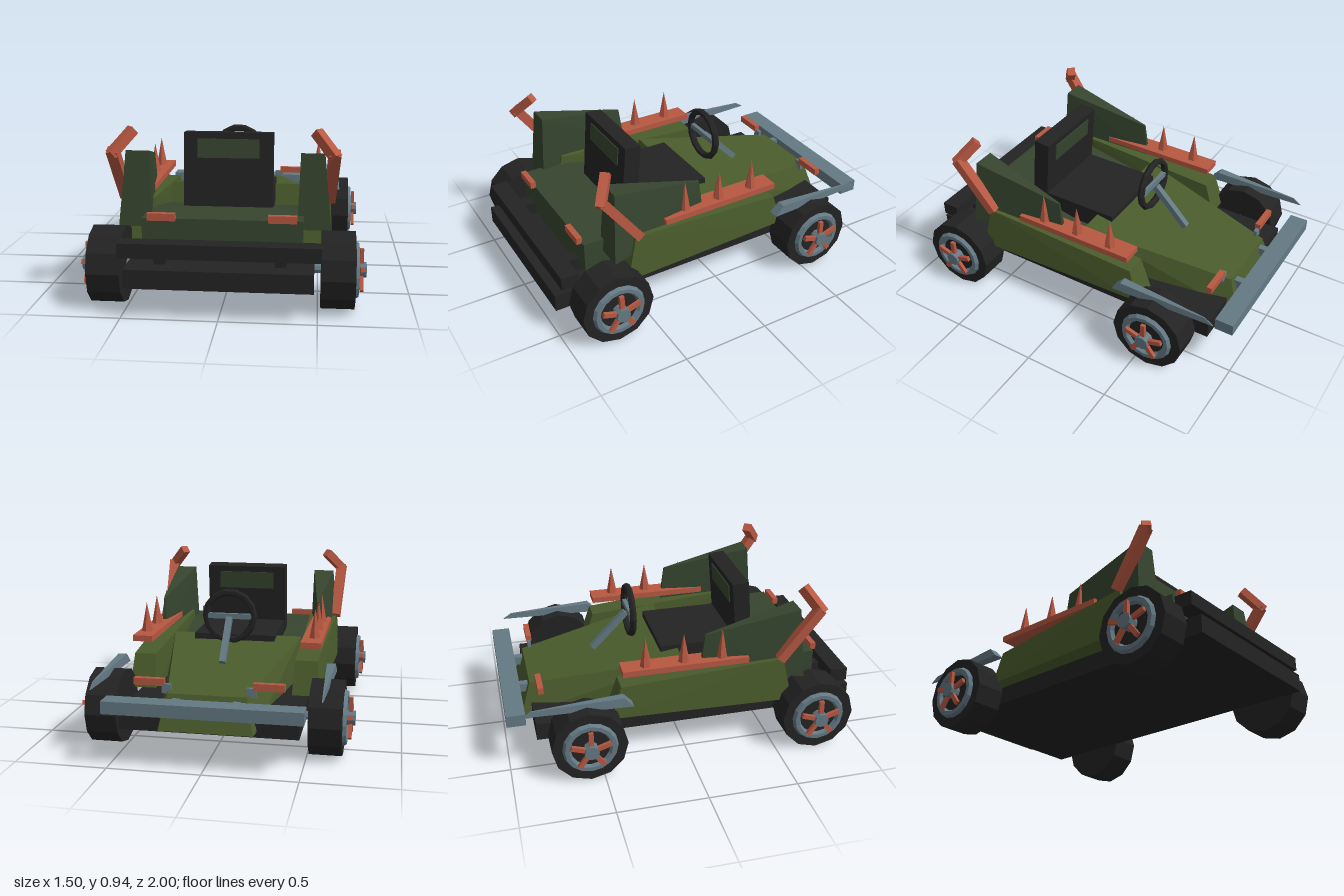
import * as THREE from 'three';
import { ConvexGeometry } from 'three/addons/geometries/ConvexGeometry.js';

const paint = (name, color) => {
  const m = new THREE.MeshStandardMaterial({ color });
  m.name = name;
  return m;
};

export function createModel() {
  const black = paint('black', 0x232323);
  const olive = paint('olive green', 0x4a5c2c);
  const dark = paint('dark green', 0x36452f);
  const red = paint('rust red', 0xb85842);
  const steel = paint('steel grey', 0x647984);

  const car = new THREE.Group();
  car.name = 'kart';

  // Faceted mesh
  function add(name, geo, mat, parent = car) {
    const g = geo.index ? geo.toNonIndexed() : geo;
    g.computeVertexNormals();
    const mesh = new THREE.Mesh(g, mat);
    mesh.name = name;
    parent.add(mesh);
    return mesh;
  }
  // Box given by its limits on each axis
  function box(name, mat, [x0, x1], [y0, y1], [z0, z1], parent = car) {
    const m = add(name, new THREE.BoxGeometry(Math.abs(x1 - x0), y1 - y0, z1 - z0), mat, parent);
    m.position.set((x0 + x1) / 2, (y0 + y1) / 2, (z0 + z1) / 2);
    return m;
  }
  // Solid between crosswise edges [x0, x1, y, z]
  function wedge(name, mat, edges, side = 1) {
    const pts = [];
    for (const [x0, x1, y, z] of edges) {
      pts.push(new THREE.Vector3(x0 * side, y, z), new THREE.Vector3(x1 * side, y, z));
    }
    return add(name, new ConvexGeometry(pts), mat);
  }
  // Square bar between two points
  function bar(name, mat, a, b, w, h) {
    const p = new THREE.Vector3(...a), q = new THREE.Vector3(...b);
    const m = add(name, new THREE.BoxGeometry(w, h, p.distanceTo(q)), mat);
    m.position.copy(p).lerp(q, 0.5);
    m.lookAt(q);
    return m;
  }
  // Cylinder lying along x
  function axial(name, mat, r, x0, x1, sides, parent) {
    const g = new THREE.CylinderGeometry(r, r, Math.abs(x1 - x0), sides).rotateZ(Math.PI / 2);
    const m = add(name, g, mat, parent);
    m.position.x = (x0 + x1) / 2;
    return m;
  }

  // Chassis and bumpers
  box('floorPlate', black, [-0.48, 0.48], [0.16, 0.26], [-0.84, 1]);
  box('rearBumper', black, [-0.515, 0.515], [0.31, 0.387], [0.87, 0.97]);
  box('frontBumper', steel, [-0.52, 0.52], [0.292, 0.36], [-1, -0.895]);
  for (const s of [-1, 1]) {
    box('bumperMount', black, [s * 0.28, s * 0.34], [0.25, 0.34], [0.78, 0.9]);
    box('frontBumperMount', steel, [s * 0.14, s * 0.18], [0.3, 0.35], [-0.9, -0.84]);
  }

  // Bonnet
  wedge('bonnet', olive, [
    [-0.25, 0.25, 0.185, -0.9], [-0.21, 0.21, 0.372, -0.84],
    [-0.385, 0.385, 0.5, 0.02], [-0.405, 0.405, 0.25, 0.075],
  ]);

  // Rear deck, sloping down into the cockpit
  wedge('rearDeck', dark, [
    [-0.42, 0.42, 0.285, 0.79], [-0.42, 0.42, 0.475, 0.79], [-0.42, 0.42, 0.475, 0.52],
    [-0.4, 0.4, 0.38, 0.06], [-0.4, 0.4, 0.275, 0.06],
  ]);

  // Seat
  box('seatCushion', black, [-0.24, 0.24], [0.4, 0.52], [-0.08, 0.4]);
  const backrest = new THREE.Group();
  backrest.name = 'backrest';
  backrest.position.set(0, 0.47, 0.425);
  backrest.rotation.x = -0.0875;
  car.add(backrest);
  box('backrestPad', black, [-0.245, 0.245], [-0.06, 0.4], [-0.0475, 0.0475], backrest);
  box('backrestPanel', dark, [-0.17, 0.17], [0.26, 0.365], [0.047, 0.053], backrest);
  box('backrestFrontPanel', dark, [-0.17, 0.17], [0.26, 0.365], [-0.053, -0.047], backrest);

  // Steering
  bar('steeringColumn', steel, [0, 0.44, -0.44], [0, 0.65, -0.235], 0.035, 0.035);
  const steering = add('steeringWheel', new THREE.TorusGeometry(0.14, 0.02, 6, 14), black);
  steering.position.set(0, 0.66, -0.215);
  box('steeringSpoke', steel, [-0.13, 0.13], [0.645, 0.675], [-0.228, -0.205]);

  for (const s of [-1, 1]) {
    // Side pod
    wedge('sidePod', olive, [
      [0.39, 0.54, 0.27, -0.43], [0.4, 0.525, 0.455, -0.37],
      [0.39, 0.56, 0.53, 0.55], [0.39, 0.575, 0.27, 0.61],
    ], s);

    // Rear fin
    wedge('rearFin', dark, [
      [0.385, 0.565, 0.4, 0.68], [0.4, 0.525, 0.805, 0.65],
      [0.47, 0.48, 0.695, 0.115], [0.46, 0.49, 0.49, 0.09],
    ], s);

    // Spiked rail
    box('sideRail', red, [s * 0.425, s * 0.54], [0.522, 0.556], [-0.36, 0.355]);
    for (const z of [0.21, -0.01, -0.225]) {
      const spike = add('railSpike', new THREE.ConeGeometry(0.035, 0.18, 6), red);
      spike.position.set(s * 0.492, 0.635, z);
    }

    // Bent horn
    bar('hornLower', red, [s * 0.553, 0.53, 0.53], [s * 0.573, 0.825, 0.745], 0.06, 0.05);
    bar('hornUpper', red, [s * 0.58, 0.8, 0.755], [s * 0.478, 0.92, 0.67], 0.05, 0.05);

    // Lights
    box('rearLight', red, [s * 0.24, s * 0.388], [0.468, 0.507], [0.785, 0.817]);
    box('frontLight', red, [s * 0.235, s * 0.4], [0.4, 0.438], [-0.81, -0.778]);
    box('frontLightBracket', steel, [s * 0.2, s * 0.25], [0.36, 0.41], [-0.805, -0.785]);

    // Pointed front mudguard
    wedge('frontMudguard', steel, [
      [0.57, 0.63, 0.392, -0.32], [0.575, 0.625, 0.447, -0.37],
      [0.597, 0.603, 0.425, -0.87], [0.597, 0.603, 0.392, -0.92],
    ], s);

    // Wheels
    for (const [name, z] of [['rearWheel', 0.73], ['frontWheel', -0.575]]) {
      const wheel = new THREE.Group();
      wheel.name = name;
      wheel.position.set(0, 0.208, z);
      car.add(wheel);
      axial('axle', steel, 0.025, s * 0.42, s * 0.53, 8, wheel);
      axial('tyre', black, 0.208, s * 0.515, s * 0.69, 12, wheel);
      const rim = add('rim', new THREE.TorusGeometry(0.13, 0.023, 6, 16).rotateY(Math.PI / 2), steel, wheel);
      rim.position.x = s * 0.69;
      axial('hub', steel, 0.04, s * 0.68, s * 0.75, 10, wheel);
      for (let i = 0; i < 5; i++) {
        const spoke = add('spoke', new THREE.BoxGeometry(0.02, 0.11, 0.026).translate(0, 0.06, 0), red, wheel);
        spoke.position.x = s * 0.725;
        spoke.rotation.x = (i * Math.PI * 2) / 5;
      }
    }
  }
  return car;
}
